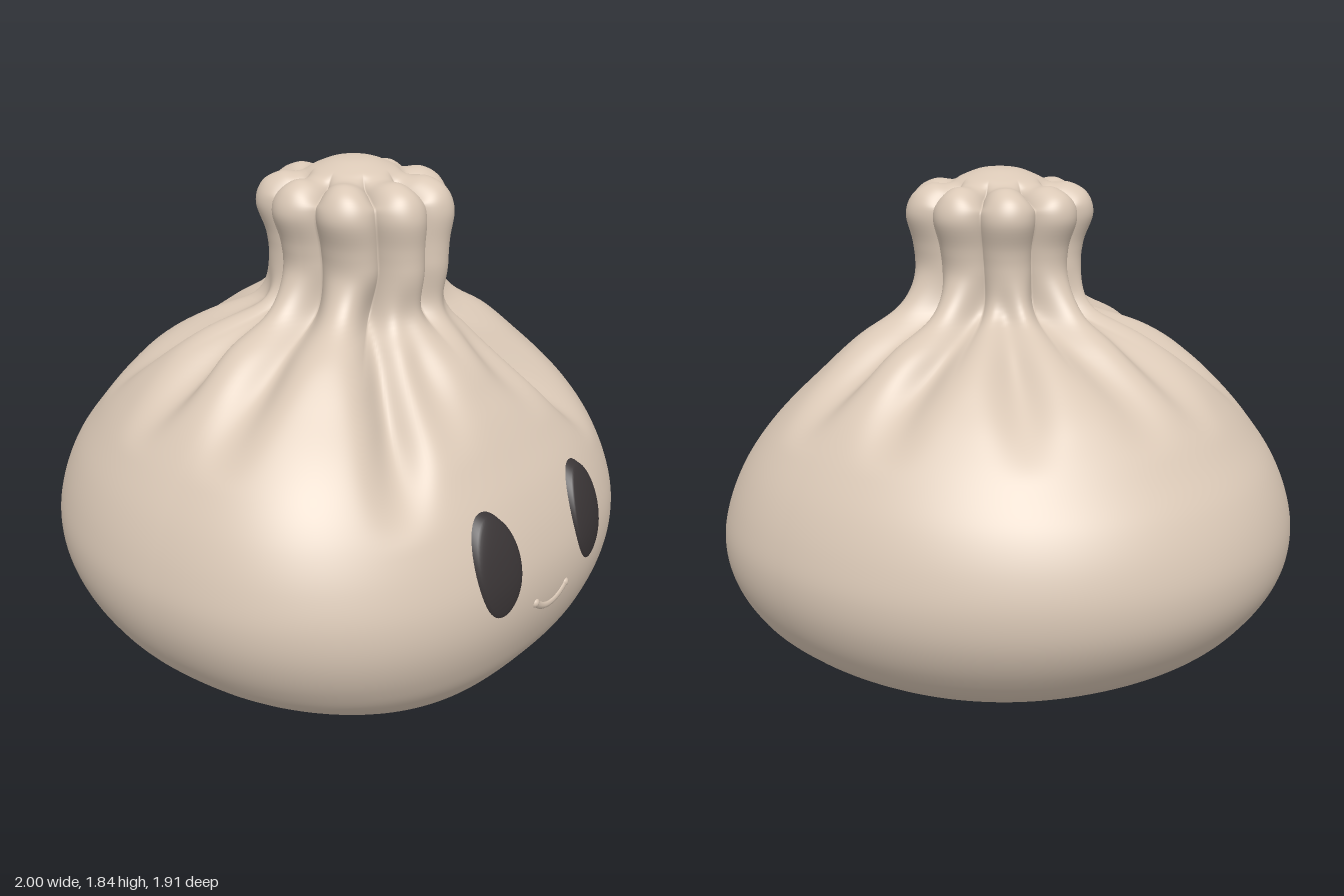
import * as THREE from 'three';

const CZ = 0.115; // z of the gathered neck axis
const ROWS = [ // y, half width, front z, back z
  [0, 0, CZ, CZ], [0.01, 0.18, 0.4, 0], [0.03, 0.31, 0.53, -0.16], [0.07, 0.466, 0.645, -0.345],
  [0.13, 0.63, 0.75, -0.525], [0.25, 0.828, 0.86, -0.748], [0.36, 0.926, 0.917, -0.863], [0.48, 0.983, 0.948, -0.935],
  [0.6, 1, 0.947, -0.956], [0.72, 0.98, 0.915, -0.935], [0.84, 0.935, 0.86, -0.88], [0.95, 0.87, 0.79, -0.795],
  [1.05, 0.79, 0.72, -0.71], [1.15, 0.69, 0.64, -0.605], [1.27, 0.545, 0.555, -0.43],
  [1.37, 0.36, 0.49, -0.27], [1.48, 0.28, 0.462, -0.185], [1.58, 0.285, 0.458, -0.18], [1.68, 0.317, 0.465, -0.215],
  [1.75, 0.295, 0.435, -0.195], [1.785, 0.245, 0.37, -0.13], [1.785, 0.19, 0.305, -0.075], [1.79, 0.165, 0.28, -0.05],
  [1.805, 0.135, 0.25, -0.02], [1.83, 0.07, 0.185, 0.045], [1.838, 0, CZ, CZ],
];
const GROOVES = [ // angle at neck, angle on belly, lower end, depth (degrees, 90 = front)
  [90, 90, 1.15, 0.06], [50, 50, 0.82, 0.12], [70, 69, 0.98, 0.06], [10, 8, 0.97, 0.12],
  [-30, -18, 0.97, 0.12], [-48, -51, 0.98, 0.1], [-70, -81, 1, 0.085],
];
const ALL_GROOVES = GROOVES.concat(GROOVES.slice(1).map(([a, b, e, d]) => [180 - a, 180 - b, e, d]));

const curveA = new THREE.CatmullRomCurve3(ROWS.map(r => new THREE.Vector3(r[0], r[1], r[2])), false, 'catmullrom', 0.5);
const curveB = new THREE.CatmullRomCurve3(ROWS.map(r => new THREE.Vector3(r[3], 0, 0)), false, 'catmullrom', 0.5);
const smooth = (a, b, v) => THREE.MathUtils.smoothstep(v, a, b);
const squareness = y => 2 + 0.4 * (1 - smooth(0.9, 1.35, y));

// Nine round lobes around the neck, 1 at a peak
function lobe(theta) {
  const step = Math.PI * 2 / 9;
  let a = theta + Math.PI / 2;
  a -= Math.round(a / step) * step;
  return 0.71 * Math.cos(a) + Math.sqrt(0.29 ** 2 - (0.71 * Math.sin(a)) ** 2);
}

function bodyPoint(t, theta) {
  const { x: y, y: rx, z: zf } = curveA.getPoint(t);
  const zb = curveB.getPoint(t).x;
  const c = Math.cos(theta), s = Math.sin(theta);
  const p = s > 0 ? 2 / squareness(y) : 1;
  const x = Math.sign(c) * Math.abs(c) ** p * rx;
  const z = s > 0 ? s ** p * (zf - CZ) : s * (CZ - zb);
  // neck lobes
  const dip = (1 - lobe(theta)) * smooth(1.2, 1.48, y) * smooth(0.13, 0.24, rx);
  let f = 1 - dip;
  // pleat grooves running down the shoulders
  const r = Math.hypot(x, z);
  if (y > 0.75 && y < 1.65 && r > 0.1) {
    const ang = Math.atan2(z, x), width = Math.min(0.08, 0.19 * r);
    for (const [top, low, end, depth] of ALL_GROOVES) {
      const g = THREE.MathUtils.degToRad(THREE.MathUtils.lerp(low, top, smooth(1.1, 1.5, y)));
      const d = Math.atan2(Math.sin(ang - g), Math.cos(ang - g)) * r;
      const w = smooth(end, end + 0.27, y) * (1 - smooth(1.32, 1.52, y));
      f -= Math.min(depth / r, 0.25) * w * Math.exp(-((d / width) ** 2));
    }
  }
  return [x * f, y - dip * 0.25 * smooth(1.7, 1.78, y), CZ + z * f];
}

function bodyGeometry(rows = 160, segs = 360) {
  const pos = [], index = [];
  const id = (i, j) => i === 0 ? 0 : i === rows ? rows * segs : i * segs + j % segs;
  for (let i = 0; i <= rows; i++)
    for (let j = 0; j < segs; j++) pos.push(...bodyPoint(i / rows, j / segs * Math.PI * 2));
  for (let i = 0; i < rows; i++)
    for (let j = 0; j < segs; j++) {
      const a = id(i, j), b = id(i, j + 1), d = id(i + 1, j), e = id(i + 1, j + 1);
      if (i > 0) index.push(a, d, b);
      if (i < rows - 1) index.push(b, d, e);
    }
  const g = new THREE.BufferGeometry();
  g.setAttribute('position', new THREE.Float32BufferAttribute(pos, 3));
  g.setIndex(index);
  g.computeVertexNormals();
  return g;
}

// z of the face surface at x, y on the belly
function faceZ(x, y) {
  let lo = 0, hi = 0.5;
  for (let i = 0; i < 30; i++) {
    const m = (lo + hi) / 2;
    if (curveA.getPoint(m).x < y) lo = m; else hi = m;
  }
  const q = curveA.getPoint(lo), n = squareness(y);
  return CZ + (q.z - CZ) * (1 - Math.abs(x / q.y) ** n) ** (1 / n);
}

// Oval button wrapped on the face, standing out more towards its top
function eyeGeometry(cx, cy) {
  const g = new THREE.RingGeometry(0.001, 1, 48, 16);
  const p = g.attributes.position;
  for (let i = 0; i < p.count; i++) {
    const u = p.getX(i), v = p.getY(i);
    const x = cx + u * 0.1, y = cy + v * 0.17;
    const bulge = Math.sqrt(Math.max(0, 1 - u * u - v * v));
    p.setXYZ(i, x, y, faceZ(x, y) - 0.003 + (0.024 + 0.018 * v) * Math.sqrt(bulge));
  }
  g.computeVertexNormals();
  return g;
}

export function createModel() {
  const group = new THREE.Group();
  const dough = new THREE.MeshStandardMaterial({ color: 0xdac8b6 });
  dough.name = 'dough';
  const dark = new THREE.MeshStandardMaterial({ color: 0x3a3536 });
  dark.name = 'eyeDark';
  const add = (geo, mat, name) => {
    const m = new THREE.Mesh(geo, mat);
    m.name = name;
    group.add(m);
    return m;
  };

  add(bodyGeometry(), dough, 'body');
  add(eyeGeometry(0.267, 0.69), dark, 'leftEye');
  add(eyeGeometry(-0.267, 0.69), dark, 'rightEye');

  // Smile: a thin curved roll, half sunk, with rounded ends
  const smile = [[-0.092, 0.505], [-0.065, 0.486], [-0.035, 0.473], [0, 0.468], [0.035, 0.473], [0.065, 0.486], [0.092, 0.505]]
    .map(([x, y]) => new THREE.Vector3(x, y, faceZ(x, y) - 0.009));
  add(new THREE.TubeGeometry(new THREE.CatmullRomCurve3(smile), 32, 0.016, 10), dough, 'mouth');
  for (const end of [smile[0], smile[6]])
    add(new THREE.SphereGeometry(0.018, 14, 10), dough, 'mouthCorner').position.copy(end);

  return group;
}
